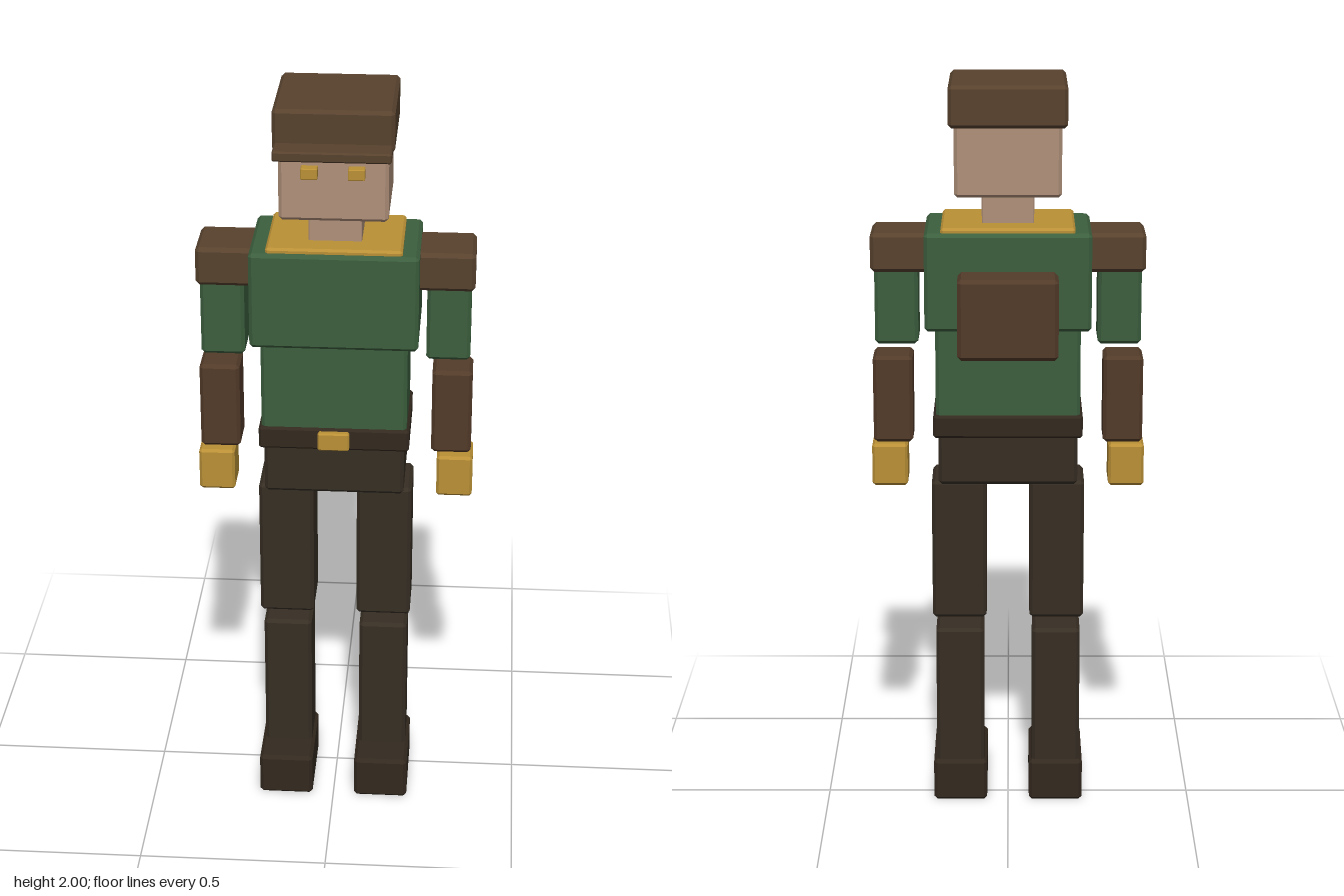
import * as THREE from 'three';
import { ConvexGeometry } from 'three/addons/geometries/ConvexGeometry.js';

const paint = (name, color) => {
  const m = new THREE.MeshStandardMaterial({ color });
  m.name = name;
  return m;
};

// Box with chamfered edges, spanning the given ranges
function chamferBox([x0, x1], [y0, y1], [z0, z1], b) {
  const half = [(x1 - x0) / 2, (y1 - y0) / 2, (z1 - z0) / 2];
  const points = [];
  for (const sx of [-1, 1]) for (const sy of [-1, 1]) for (const sz of [-1, 1]) {
    for (let axis = 0; axis < 3; axis++) {
      const p = half.map((h, i) => (i === axis ? h : h - b));
      points.push(new THREE.Vector3(p[0] * sx, p[1] * sy, p[2] * sz));
    }
  }
  return new ConvexGeometry(points).translate((x0 + x1) / 2, (y0 + y1) / 2, (z0 + z1) / 2);
}

export function createModel() {
  const model = new THREE.Group();
  model.name = 'blockyFigure';

  const skin = paint('skin', 0xb0917a);
  const green = paint('greenCloth', 0x3c5f3e);
  const brown = paint('brownCloth', 0x58422e);
  const leather = paint('brownLeather', 0x533b29);
  const trousers = paint('darkTrousers', 0x372e24);
  const dark = paint('darkLeather', 0x33291f);
  const gold = paint('gold', 0xba9036);

  const add = (name, mat, x, y, z, b = 0.009) => {
    const mesh = new THREE.Mesh(chamferBox(x, y, z, b), mat);
    mesh.name = name;
    model.add(mesh);
  };
  // Centred part of half width w
  const mid = (name, mat, w, y, z, b) => add(name, mat, [-w, w], y, z, b);
  // Mirrored part on both sides
  const pair = (name, mat, [a, c], y, z, b) => {
    add('left' + name, mat, [a, c], y, z, b);
    add('right' + name, mat, [-c, -a], y, z, b);
  };

  // Head and cap
  mid('head', skin, 0.138, [1.71, 1.98], [-0.122, 0.153]);
  mid('neck', skin, 0.068, [1.6, 1.73], [-0.047, 0.08], 0.003);
  mid('cap', brown, 0.152, [1.892, 2], [-0.147, 0.155]);
  mid('capBrim', brown, 0.147, [1.889, 1.915], [0.1, 0.221], 0.004);
  pair('Eye', gold, [0.038, 0.08], [1.829, 1.858], [0.14, 0.18], 0.002);

  // Torso
  mid('collar', gold, 0.174, [1.59, 1.63], [-0.115, 0.143], 0.006);
  mid('chest', green, 0.217, [1.358, 1.617], [-0.125, 0.155]);
  mid('abdomen', green, 0.19, [1.11, 1.375], [-0.105, 0.139]);
  mid('belt', dark, 0.197, [1.067, 1.128], [-0.113, 0.147], 0.006);
  mid('buckle', gold, 0.041, [1.072, 1.122], [0.13, 0.163], 0.004);
  mid('pelvis', trousers, 0.184, [0.935, 1.08], [-0.102, 0.136]);
  mid('backpack', leather, 0.13, [1.305, 1.518], [-0.222, -0.1], 0.01);

  // Arms
  pair('ShoulderPad', brown, [0.2, 0.359], [1.503, 1.606], [-0.066, 0.096], 0.01);
  pair('UpperArm', green, [0.236, 0.35], [1.305, 1.53], [-0.043, 0.082]);
  pair('Forearm', leather, [0.253, 0.358], [1.033, 1.269], [-0.037, 0.076]);
  pair('Hand', gold, [0.269, 0.364], [0.908, 1.024], [-0.026, 0.083], 0.007);

  // Legs
  pair('Thigh', trousers, [0.058, 0.204], [0.543, 0.932], [-0.064, 0.096]);
  pair('Shin', trousers, [0.066, 0.196], [0.11, 0.506], [-0.055, 0.087]);
  pair('Boot', dark, [0.058, 0.205], [0, 0.12], [-0.064, 0.182]);

  return model;
}
